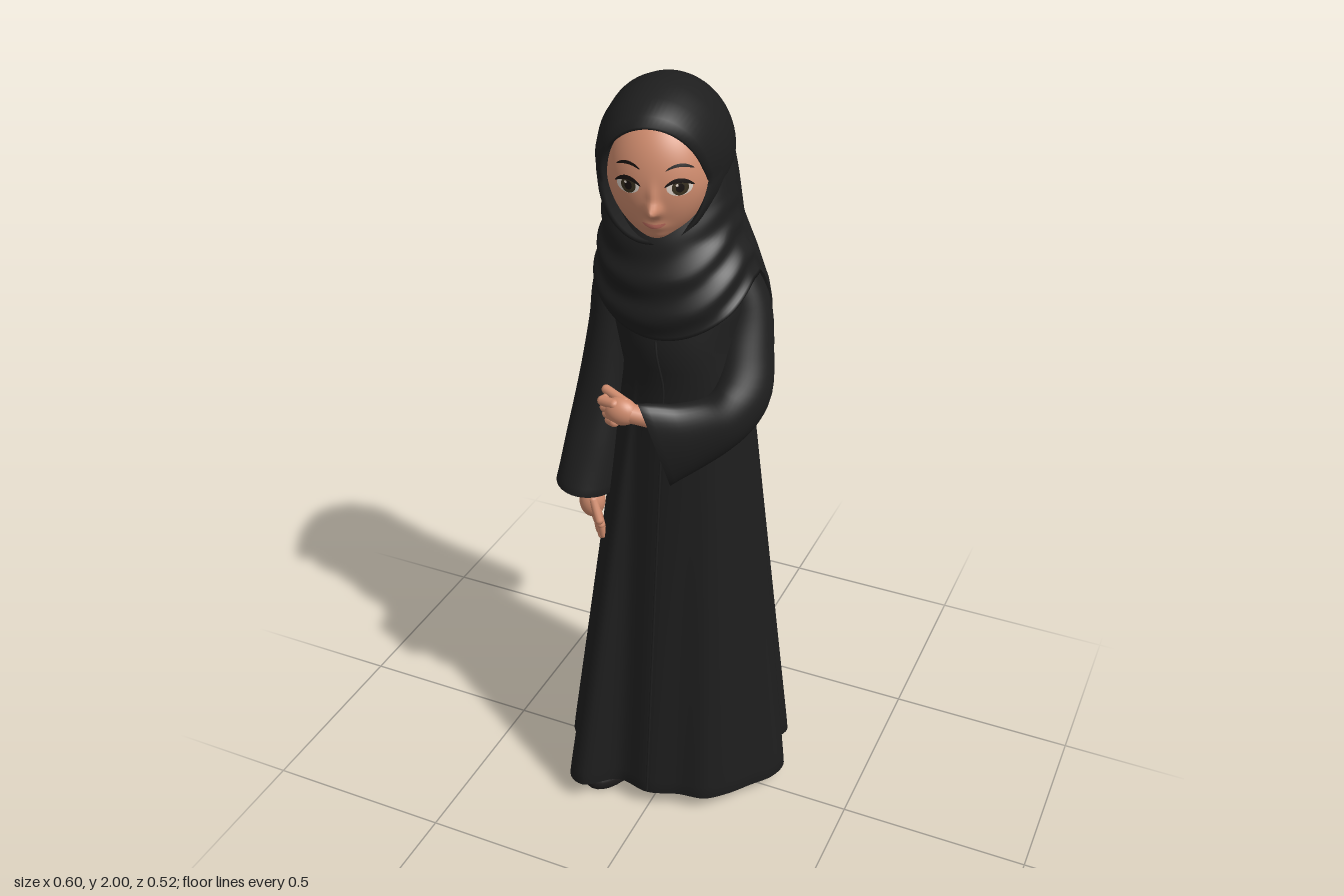
import * as THREE from 'three';

const V = (x, y, z) => new THREE.Vector3(x, y, z);
const mat = (name, color, side = THREE.FrontSide) => {
  const m = new THREE.MeshStandardMaterial({ color, side });
  m.name = name;
  return m;
};
const clamp01 = (t) => Math.min(1, Math.max(0, t));

// Linear lookup in rows sorted by their first entry
function sample(rows, key) {
  let i = 0;
  while (i < rows.length - 2 && key > rows[i + 1][0]) i++;
  const t = clamp01((key - rows[i][0]) / (rows[i + 1][0] - rows[i][0]));
  return rows[i].map((v, k) => v + (rows[i + 1][k] - v) * t);
}

// Skin over closed rings of equal length
function loft(rings) {
  const n = rings[0].length, pos = [], idx = [];
  rings.forEach((r) => r.forEach((p) => pos.push(p.x, p.y, p.z)));
  for (let i = 0; i < rings.length - 1; i++) {
    for (let j = 0; j < n; j++) {
      const a = i * n + j, b = i * n + (j + 1) % n;
      idx.push(a, b, b + n, a, b + n, a + n);
    }
  }
  const g = new THREE.BufferGeometry();
  g.setAttribute('position', new THREE.Float32BufferAttribute(pos, 3));
  g.setIndex(idx);
  g.computeVertexNormals();
  return g;
}
const ringOf = (n, f) => Array.from({ length: n }, (_, j) => f((j / n) * Math.PI * 2, j / n));

// Gown: scalloped hem outline (x, z) blending up into an oval torso
const hem = new THREE.CatmullRomCurve3([
  [-0.215, 0.245], [-0.17, 0.262], [-0.09, 0.2], [0, 0.21], [0.08, 0.18], [0.15, 0.165], [0.2, 0.12],
  [0.245, 0.06], [0.288, 0], [0.298, -0.06], [0.245, -0.13], [0.258, -0.195], [0.225, -0.235], [0.16, -0.205],
  [0.07, -0.262], [0, -0.205], [-0.09, -0.235], [-0.16, -0.17], [-0.25, -0.155], [-0.28, -0.1],
  [-0.26, -0.03], [-0.3, 0.05], [-0.255, 0.12],
].map(([x, z]) => V(x, 0, z)), true);
const seamT = 3 / 23;
const torso = [ // y, cx, cz, rx, rz
  [1.3, 0.03, 0.008, 0.155, 0.142], [1.4, 0.015, 0.014, 0.155, 0.146], [1.5, 0.005, 0.01, 0.175, 0.13],
  [1.56, 0, 0, 0.165, 0.105], [1.62, -0.01, 0, 0.08, 0.07],
];
function gownPoint(y, t, scale = 1) {
  const h = hem.getPoint(t), a = Math.atan2(h.x, h.z), w = clamp01((1.3 - y) / 1.24);
  const [, cx, cz, rx, rz] = sample(torso, y);
  const x = cx + rx * Math.sin(a), z = cz + rz * Math.cos(a);
  return V((x + (h.x - x) * w) * scale, y - 0.04 * h.x * w, (z + (h.z - z) * w) * scale);
}
function gownGeometry() {
  const n = 160, rings = [ringOf(n, () => V(0, 0.16, 0)), ringOf(n, (a, t) => gownPoint(0.14, t, 0.9))];
  rings.push(ringOf(n, (a, t) => gownPoint(0.06, t, 0.97)));
  for (let i = 0; i <= 40; i++) rings.push(ringOf(n, (a, t) => gownPoint(0.055 + (1.565 * i) / 40, t)));
  return loft(rings);
}

// Sleeve: rows of centre x, y, z, half-size across the bend, half-size along the side vector
function sleeveGeometry(rows, side, cuffDir) {
  const path = new THREE.CatmullRomCurve3(rows.map((r) => V(r[0], r[1], r[2])));
  const size = new THREE.CatmullRomCurve3(rows.map((r) => V(r[3], r[4], 0)));
  const ring = (t, s) => {
    const c = path.getPoint(t), r = size.getPoint(t);
    const d = path.getTangent(t).lerp(cuffDir, t ** 4);
    const u = side.clone().cross(d).normalize();
    return ringOf(40, (a) => {
      const k = s * (1 + 0.03 * Math.sin(3 * a + 9 * t) * t);
      return c.clone().addScaledVector(u, r.x * Math.cos(a) * k).addScaledVector(side, r.y * Math.sin(a) * k);
    });
  };
  const rings = [];
  for (let i = 0; i <= 28; i++) rings.push(ring(i / 28, 1));
  rings.push(ring(1, 0.93), ring(0.9, 0.8), ring(0.85, 0));
  return loft(rings);
}

// Scarf over neck and shoulders: short cowl in front, long panel behind
const scarfRows = [ // y, cx, rx, front z, back z
  [1.23, 0.015, 0.188, 0.16, 0.245], [1.33, 0.012, 0.206, 0.163, 0.231], [1.43, 0.008, 0.212, 0.165, 0.215],
  [1.5, 0.003, 0.207, 0.168, 0.203], [1.58, -0.007, 0.186, 0.158, 0.192], [1.66, -0.02, 0.161, 0.135, 0.186],
  [1.76, -0.029, 0.154, 0.1, 0.183], [1.86, -0.03, 0.138, 0.08, 0.16],
];
function scarfGeometry() {
  const point = (a, s, k) => {
    const f = Math.sin(a), c = Math.cos(a), front = Math.max(0, f) ** 1.5;
    const back = THREE.MathUtils.smoothstep(-f - 0.15 * c, 0.08, 0.5);
    const bottom = 1.55 - 0.12 * front - 0.315 * back;
    const y = 1.86 + (bottom - 1.86) * s;
    const [, cx, rx, zf, zb] = sample(scarfRows, y);
    const fold = 0.005 * Math.sin(s * 30 + 2 * c) * (1 - back) * clamp01(s * 3 - 1)
      + 0.01 * Math.cos(7 * a + 0.6) * s ** 3 * back;
    const square = f < 0 ? 0.06 * Math.sin(2 * a) ** 2 : 0;
    const r = k * (1 + fold / 0.18 + square);
    return V(cx + rx * c * r, y, (f > 0 ? zf : zb) * f * r);
  };
  const rings = [];
  for (let i = 0; i <= 54; i++) rings.push(ringOf(112, (a) => point(a, i / 54, 1)));
  rings.push(ringOf(112, (a) => point(a, 1, 0.93)), ringOf(112, (a) => point(a, 0.8, 0.88)));
  return loft(rings);
}

// Hood: rings from the face opening to the back of the head
function hoodGeometry() {
  const rows = [ // z, cy, rx, ry, how far the rim leans forward, fullness below
    [0.05, -0.02, 0.108, 0.136, 0, 1], [0.11, -0.021, 0.111, 0.138, 1, 1], [0.116, -0.02, 0.117, 0.145, 1, 1],
    [0.105, -0.015, 0.127, 0.158, 0.95, 1], [0.07, -0.004, 0.141, 0.17, 0.7, 0.95],
    [0.03, 0.002, 0.15, 0.177, 0.3, 0.85], [-0.02, 0.002, 0.153, 0.176, 0, 0.75], [-0.07, 0, 0.147, 0.165, 0, 0.7],
    [-0.115, -0.005, 0.128, 0.142, 0, 0.7], [-0.15, -0.01, 0.098, 0.108, 0, 0.7],
    [-0.173, -0.015, 0.06, 0.066, 0, 0.7], [-0.183, -0.015, 0, 0, 0, 1],
  ];
  return loft(rows.map(([z, cy, rx, ry, lean, full]) => ringOf(72, (a) => {
    const c = Math.cos(a), s = Math.sin(a), up = c > 0 ? 0.07 * c ** 0.9 : -0.025 * c;
    return V(rx * s, cy + ry * c * (c < 0 ? full : 1), z + lean * (up - 0.016 * s));
  })));
}

// Face surface in head space, with nose and chin raised from an oval
const jaw = (b) => 0.125 * (1 - 0.22 * Math.max(0, -b) ** 1.5);
const bump = (x, y, cy, w, h, amount) => amount * Math.exp(-((x / w) ** 2) - ((y - cy) / h) ** 2);
function surfaceZ(x, y, c) {
  const z = 0.015 + Math.sign(c) * 0.16 * Math.abs(c) ** 0.7;
  if (c <= 0) return z;
  return z + bump(x, y, -0.07, 0.014, 0.015, 0.032) + bump(x, y, -0.045, 0.011, 0.03, 0.009)
    + bump(x, y, -0.145, 0.035, 0.018, 0.012) + bump(x, y, -0.115, 0.03, 0.014, 0.008);
}
function faceZ(x, y) {
  const b = (y + 0.02) / 0.16, a = x / jaw(b);
  return surfaceZ(x, y, Math.sqrt(Math.max(0, 1 - a * a - b * b)));
}
function faceGeometry() {
  const g = new THREE.SphereGeometry(1, 120, 80), p = g.attributes.position;
  for (let i = 0; i < p.count; i++) {
    const b = p.getY(i), x = p.getX(i) * jaw(b), y = b * 0.16 - 0.02;
    p.setXYZ(i, x, y, surfaceZ(x, y, p.getZ(i)));
  }
  g.computeVertexNormals();
  return g;
}
// Thin oval lying on the face, optionally bent up or down at its ends
function patchGeometry(cx, cy, rx, ry, off, bend = 0) {
  const g = new THREE.RingGeometry(0, 1, 28, 5), p = g.attributes.position;
  for (let i = 0; i < p.count; i++) {
    const u = p.getX(i), x = cx + u * rx, y = cy + p.getY(i) * ry + bend * u * u;
    p.setXYZ(i, x, y, faceZ(x, y) + off);
  }
  g.computeVertexNormals();
  return g;
}

export function createModel() {
  const cloth = mat('black cloth', 0x1e1e1e, THREE.DoubleSide), shoeBlack = mat('shoe black', 0x1c1a1a);
  const skin = mat('skin', 0xd08c6e), white = mat('eye white', 0xddd2c8), iris = mat('iris brown', 0x38301f);
  const dark = mat('lash black', 0x17110f), lip = mat('lip rose', 0xbd6c5e);
  const model = new THREE.Group();
  const add = (parent, name, geometry, material) => {
    const m = new THREE.Mesh(geometry, material);
    m.name = name;
    parent.add(m);
    return m;
  };
  const group = (name, parent = model) => {
    const g = new THREE.Group();
    g.name = name;
    parent.add(g);
    return g;
  };
  const palm = (parent, c, r) => {
    const m = add(parent, 'palm', new THREE.SphereGeometry(1, 24, 18), skin);
    m.position.set(...c);
    m.scale.set(...r);
  };
  const limb = (parent, name, a, b, r) => {
    const p = V(...a), q = V(...b), d = q.clone().sub(p);
    const m = add(parent, name, new THREE.CapsuleGeometry(r, d.length(), 6, 12), skin);
    m.position.copy(p).add(q).multiplyScalar(0.5);
    m.quaternion.setFromUnitVectors(V(0, 1, 0), d.normalize());
  };

  // Gown with front seam
  add(model, 'gown', gownGeometry(), cloth);
  const seam = Array.from({ length: 36 }, (_, i) => gownPoint(0.06 + i * 0.039, seamT).add(V(0, 0, 0.001)));
  add(model, 'frontSeam', new THREE.TubeGeometry(new THREE.CatmullRomCurve3(seam), 72, 0.003, 8), cloth);

  // Sleeves: the right hangs, the left bends across the waist
  add(model, 'rightSleeve', sleeveGeometry([
    [-0.12, 1.565, 0, 0.05, 0.06], [-0.155, 1.49, 0, 0.054, 0.075], [-0.167, 1.38, 0.005, 0.057, 0.075],
    [-0.183, 1.2, 0.04, 0.064, 0.07], [-0.195, 1.07, 0.08, 0.069, 0.07], [-0.206, 0.96, 0.115, 0.074, 0.07],
  ], V(0, 0, 1), V(-0.15, -1, 0.1)), cloth);
  add(model, 'leftSleeve', sleeveGeometry([
    [0.12, 1.565, -0.02, 0.05, 0.06], [0.16, 1.47, -0.02, 0.064, 0.062], [0.18, 1.37, 0.015, 0.068, 0.06],
    [0.19, 1.28, 0.06, 0.072, 0.058], [0.163, 1.225, 0.102, 0.074, 0.055], [0.09, 1.182, 0.15, 0.094, 0.05],
    [0.022, 1.166, 0.19, 0.122, 0.044],
  ], V(-0.6, 0, -0.8), V(-0.8, -0.32, 0.6)), cloth);

  // Hanging right hand
  const rightHand = group('rightHand');
  limb(rightHand, 'wrist', [-0.198, 1.03, 0.1], [-0.186, 0.95, 0.125], 0.023);
  palm(rightHand, [-0.178, 0.92, 0.13], [0.033, 0.046, 0.032]);
  for (let i = 0; i < 4; i++) {
    const x = -0.19 + i * 0.012, z = 0.112 + i * 0.012, low = [0.848, 0.83, 0.824, 0.836][i];
    limb(rightHand, 'finger', [x, 0.9, z], [x + 0.01, 0.868, z + 0.004], 0.0105);
    limb(rightHand, 'fingertip', [x + 0.01, 0.868, z + 0.004], [x + 0.014, low, z], 0.0095);
  }
  limb(rightHand, 'thumb', [-0.165, 0.935, 0.15], [-0.145, 0.885, 0.16], 0.011);

  // Left hand held at the waist with curled fingers
  const leftHand = group('leftHand');
  limb(leftHand, 'wrist', [0.02, 1.238, 0.19], [-0.03, 1.25, 0.207], 0.024);
  palm(leftHand, [-0.053, 1.252, 0.209], [0.042, 0.035, 0.03]);
  for (let i = 0; i < 4; i++) {
    const y = 1.274 - i * 0.016, x = -0.1 + i * 0.006;
    limb(leftHand, 'finger', [-0.065, y, 0.222], [x, y - 0.004, 0.211], 0.0125);
    limb(leftHand, 'fingertip', [x, y - 0.004, 0.211], [x + 0.004, y - 0.006, 0.184], 0.0115);
  }
  limb(leftHand, 'thumb', [-0.045, 1.276, 0.205], [-0.103, 1.285, 0.183], 0.0115);

  // Shoes with flat soles
  [['rightShoe', -0.15, 0.085, -0.15], ['leftShoe', 0.1, 0.0, 0.1]].forEach(([name, x, z, turn]) => {
    const g = new THREE.SphereGeometry(1, 28, 20), p = g.attributes.position;
    for (let i = 0; i < p.count; i++) p.setXYZ(i, p.getX(i) * 0.065, Math.max(0, 0.015 + p.getY(i) * 0.06), p.getZ(i) * 0.13);
    g.computeVertexNormals();
    const shoe = add(model, name, g, shoeBlack);
    shoe.position.set(x, 0, z);
    shoe.rotation.y = turn;
  });

  // Scarf and head, turned a little to the left
  add(model, 'scarf', scarfGeometry(), cloth);
  const head = group('head');
  head.position.set(-0.03, 1.82, 0);
  head.rotation.y = 0.2;
  add(head, 'hood', hoodGeometry(), cloth);
  const face = group('face', head);
  face.rotation.y = 0.06;
  add(face, 'faceSkin', faceGeometry(), skin);
  for (const s of [-1, 1]) {
    const x = s * 0.057;
    add(face, 'eyeWhite', patchGeometry(x, -0.016, 0.027, 0.018, 0.002), white);
    add(face, 'iris', patchGeometry(x + 0.002, -0.015, 0.0175, 0.0175, 0.004), iris);
    add(face, 'pupil', patchGeometry(x + 0.002, -0.015, 0.009, 0.01, 0.0055), dark);
    add(face, 'eyeGlint', patchGeometry(x - 0.004, -0.008, 0.003, 0.003, 0.007), white);
    add(face, 'upperLash', patchGeometry(x, 0.002, 0.031, 0.005, 0.006, -0.014), dark);
    add(face, 'eyebrow', patchGeometry(x, 0.033, 0.029, 0.0035, 0.003, -0.01), dark);
  }
  add(face, 'lips', patchGeometry(0, -0.111, 0.026, 0.0055, 0.003, 0.007), lip);
  return model;
}
